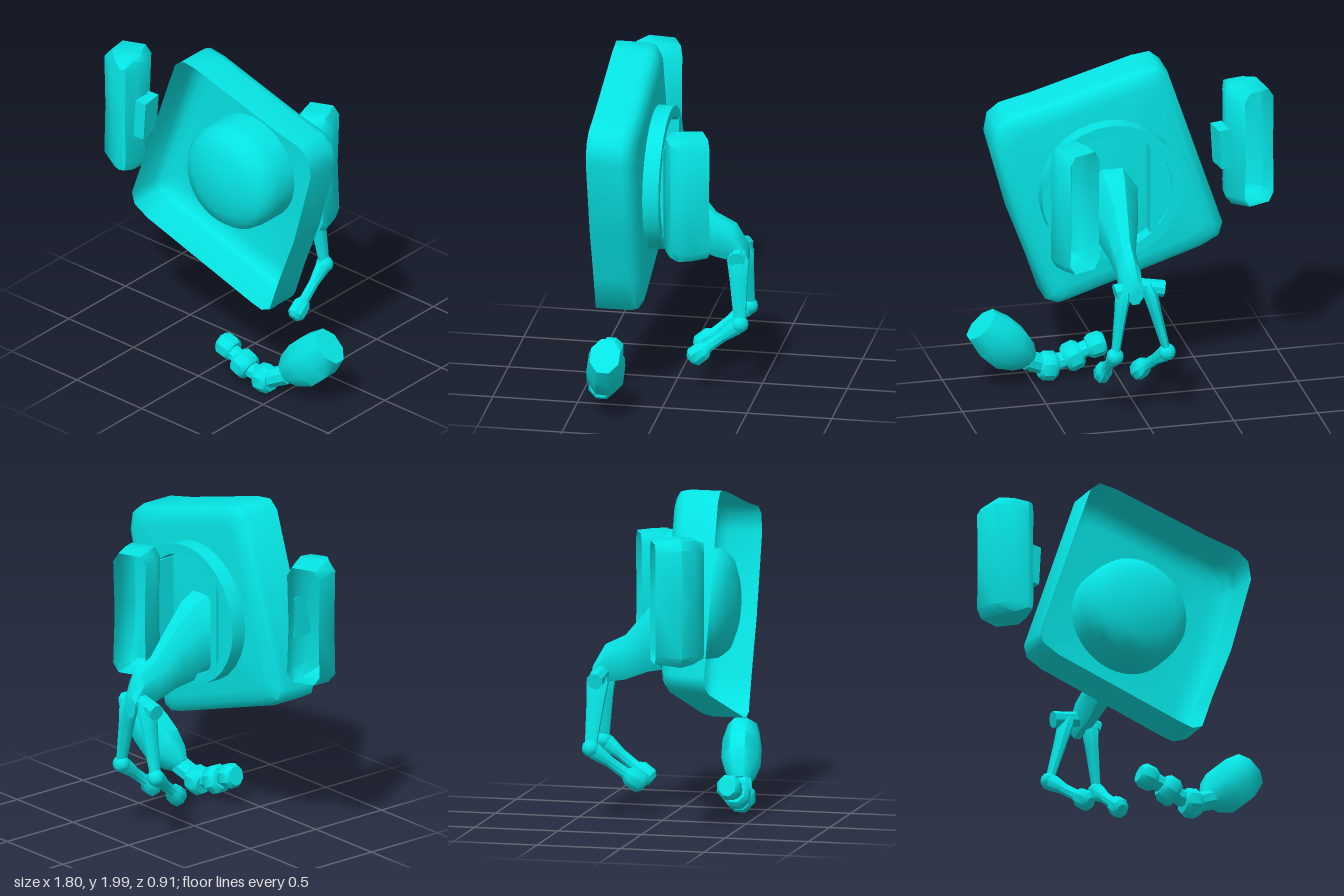
import * as THREE from 'three';
import { toCreasedNormals } from 'three/addons/utils/BufferGeometryUtils.js';

const material = new THREE.MeshStandardMaterial({ color: 0x06e4e4, side: THREE.DoubleSide });
const V = (x, y, z) => new THREE.Vector3(x, y, z);

function part(parent, name, geometry, crease = 0.7) {
  const mesh = new THREE.Mesh(toCreasedNormals(geometry, crease), material);
  mesh.name = name;
  parent.add(mesh);
  return mesh;
}

// Skin a list of equal-length point rings, optionally capping the first; the last is always capped
function loft(rings, capStart = true) {
  const n = rings[0].length, pos = [], idx = [];
  rings.forEach(r => r.forEach(p => pos.push(p.x, p.y, p.z)));
  for (let i = 0; i < rings.length - 1; i++) {
    for (let j = 0; j < n; j++) {
      const a = i * n + j, b = i * n + (j + 1) % n;
      idx.push(a, b, a + n, b, b + n, a + n);
    }
  }
  const cap = (k, flip) => {
    const c = rings[k].reduce((s, p) => s.add(p), V(0, 0, 0)).divideScalar(n);
    const m = pos.length / 3;
    pos.push(c.x, c.y, c.z);
    for (let j = 0; j < n; j++) {
      const a = k * n + j, b = k * n + (j + 1) % n;
      if (flip) idx.push(m, b, a); else idx.push(m, a, b);
    }
  };
  if (capStart) cap(0, true);
  cap(rings.length - 1, false);
  const g = new THREE.BufferGeometry();
  g.setAttribute('position', new THREE.Float32BufferAttribute(pos, 3));
  g.setIndex(idx);
  g.computeVertexNormals();
  return g;
}

// Hollow shell open toward +z; each layer is [z, scaleX, scaleY, shiftX]
function shell(outline, centre, layers) {
  return loft(layers.map(([z, sx, sy, shift = 0]) => outline.map(([x, y]) =>
    V(centre[0] + (x - centre[0]) * sx + shift, centre[1] + (y - centre[1]) * sy, z))), false);
}

// Low-poly limb along points [x, y, z, radius], flattened along the side direction
function limb(points, side, flat = 1, sides = 8) {
  const ps = points.map(p => V(p[0], p[1], p[2]));
  return loft(ps.map((p, i) => {
    const dir = ps[Math.min(i + 1, ps.length - 1)].clone().sub(ps[Math.max(i - 1, 0)]).normalize();
    const u = side.clone().addScaledVector(dir, -side.dot(dir)).normalize();
    const w = dir.clone().cross(u);
    return Array.from({ length: sides }, (_, j) => {
      const a = (j + 0.5) / sides * Math.PI * 2, r = points[i][3];
      return p.clone().addScaledVector(u, Math.cos(a) * r * flat).addScaledVector(w, Math.sin(a) * r);
    });
  }));
}

export function createModel() {
  const model = new THREE.Group();
  model.name = 'figure';
  const X = V(1, 0, 0), Z = V(0, 0, 1);

  // Large tilted tray, open at the front, with a rounded back
  const boardOutline = [[-0.6, 0.97], [-0.58, 0.9], [-0.48, 0.845], [0.32, 0.585], [0.4, 0.565],
    [0.46, 0.59], [0.53, 0.8], [0.65, 1.12], [0.78, 1.6], [0.76, 1.71], [0.69, 1.765],
    [0.5, 1.81], [-0.1, 1.985], [-0.21, 2], [-0.27, 1.95]];
  part(model, 'tray', shell(boardOutline, [0.09, 1.28],
    [[0.4, 1, 1], [0.2, 1, 1], [0.16, 0.975, 0.985], [0.13, 0.9, 0.92], [0.12, 0.8, 0.82]]), 0.9);

  // Full, slightly flattened dome set into the tray
  const domeProfile = [[0.328, 0.12], [0.328, 0.25], [0.318, 0.32], [0.28, 0.37], [0.2, 0.402],
    [0.1, 0.424], [0, 0.43]].map(([r, z]) => new THREE.Vector2(r, z));
  const dome = part(model, 'dome', new THREE.LatheGeometry(domeProfile, 40), 1);
  dome.rotation.x = Math.PI / 2;
  dome.position.set(0.08, 1.29, 0);

  // Ring collar on the back of the tray
  const ring = new THREE.Shape().absarc(0.1, 1.29, 0.42, 0, Math.PI * 2);
  ring.holes.push(new THREE.Path().absarc(0.1, 1.29, 0.36, 0, Math.PI * 2, true));
  part(model, 'collar', new THREE.ExtrudeGeometry(ring,
    { depth: 0.095, bevelEnabled: false, curveSegments: 14 })).position.z = 0.02;

  // Filled side segments and upright ribs inside the collar
  for (const s of [-1, 1]) {
    const middle = s < 0 ? Math.PI : 0;
    const segment = new THREE.Shape().absarc(0.1, 1.29, 0.37, middle - 0.8, middle + 0.8);
    part(model, 'collarSegment', new THREE.ExtrudeGeometry(segment,
      { depth: 0.07, bevelEnabled: false, curveSegments: 8 })).position.z = 0.04;
    part(model, 'collarRib', new THREE.BoxGeometry(0.05, 0.54, 0.1))
      .position.set(0.1 + s * 0.25, 1.29, 0.065);
  }

  // Torso sweeping back and down: [x, y, z, half width, half height]
  const torso = [[0.08, 1.17, 0.115, 0.17, 0.25], [0.08, 1.13, 0.02, 0.14, 0.25],
    [0.08, 1.06, -0.1, 0.1, 0.2], [0.085, 0.95, -0.24, 0.07, 0.14],
    [0.09, 0.91, -0.36, 0.07, 0.12], [0.07, 0.83, -0.43, 0.05, 0.07]];
  part(model, 'torso', loft(torso.map(([x, y, z, rx, ry]) => Array.from({ length: 8 }, (_, j) => {
    const a = (j + 0.5) / 8 * Math.PI * 2;
    return V(x + Math.cos(a) * rx, y + Math.sin(a) * ry, z);
  }))));

  // Flattened thighs, ball knees and shins with rounded feet
  const legs = {
    right: { hip: [-0.02, 0.84, -0.38], knee: [-0.125, 0.44, -0.4], foot: [-0.02, 0.24, -0.15] },
    left: { hip: [0.13, 0.84, -0.38], knee: [0.185, 0.44, -0.4], foot: [0.2, 0.24, -0.15] }
  };
  for (const [side, { hip, knee, foot }] of Object.entries(legs)) {
    const leg = new THREE.Group();
    leg.name = side + 'Leg';
    model.add(leg);
    const at = (a, b, t, r) => [...a.map((v, i) => v + (b[i] - v) * t), r];
    part(leg, 'thigh', limb([at(hip, knee, -0.08, 0.045), at(hip, knee, 0.06, 0.068),
      at(hip, knee, 0.35, 0.055), at(hip, knee, 1, 0.035)], X, 0.65));
    part(leg, 'knee', new THREE.IcosahedronGeometry(0.052, 1)).position.set(...knee);
    part(leg, 'shin', limb([at(knee, foot, -0.1, 0.04), at(knee, foot, 0.1, 0.05),
      at(knee, foot, 0.4, 0.034), at(knee, foot, 0.75, 0.034), at(knee, foot, 0.85, 0.058),
      at(knee, foot, 1.08, 0.06), at(knee, foot, 1.16, 0.035)], X, 0.85));
  }
  part(model, 'hipBar', limb([[-0.11, 0.83, -0.38, 0.05], [0.04, 0.86, -0.37, 0.045],
    [0.18, 0.83, -0.38, 0.05]], Z));

  // Two hollow side pads with rounded corners, opening backwards
  const padOutline = [[-0.105, -0.32], [-0.07, -0.375], [0.07, -0.375], [0.105, -0.32],
    [0.1, 0], [0.105, 0.32], [0.07, 0.375], [-0.07, 0.375], [-0.105, 0.32], [-0.095, 0]];
  const pads = [
    ['rightPad', [-0.807, 1.435, 0.145],
      [[0, 1, 0.94], [-0.15, 1.27, 1], [-0.23, 0.8, 0.97, -0.01], [-0.3, 0.22, 0.9, -0.02]]],
    ['leftPad', [0.322, 1.28, -0.222],
      [[0, 1, 0.98], [-0.1, 1.1, 1], [-0.18, 1.05, 1], [-0.225, 0.75, 0.93]]]
  ];
  for (const [name, position, layers] of pads) {
    const pad = part(model, name, shell(padOutline, [0, 0], layers), 0.9);
    pad.position.set(...position);
    pad.rotation.y = Math.PI + 0.41;
  }

  // Bracket on the inner side of the right pad
  const bracket = part(model, 'padBracket', new THREE.BoxGeometry(0.07, 0.24, 0.14));
  bracket.position.set(-0.61, 1.425, 0.265);
  bracket.rotation.set(0, 0.15, -0.06);

  // Curved chain of beads in front, ending in a flared club
  const chain = new THREE.Group();
  chain.name = 'chain';
  model.add(chain);
  const beads = [[0.115, 0.2, 0.37, -0.25, 0.075], [0.25, 0.14, 0.38, -0.42, 0.088],
    [0.4, 0.095, 0.37, 0.1, 0.088]];
  for (const [x, y, z, tilt, r] of beads) {
    const along = (t, k) => [x + Math.cos(tilt) * t, y + Math.sin(tilt) * t, z, r * k];
    part(chain, 'bead', limb([along(-0.055, 0.75), along(-0.03, 1), along(0.03, 1),
      along(0.055, 0.8)], Z, 0.95));
  }
  part(chain, 'cord', limb([[0.1, 0.2, 0.37, 0.05], [0.18, 0.175, 0.38, 0.05],
    [0.32, 0.115, 0.38, 0.05], [0.43, 0.105, 0.37, 0.06], [0.54, 0.16, 0.34, 0.06]], Z));
  part(chain, 'club', limb([[0.52, 0.16, 0.335, 0.06], [0.57, 0.2, 0.325, 0.11],
    [0.65, 0.26, 0.305, 0.148], [0.74, 0.345, 0.29, 0.148], [0.82, 0.43, 0.28, 0.118]],
    Z, 0.78), 0.9);

  return model;
}
